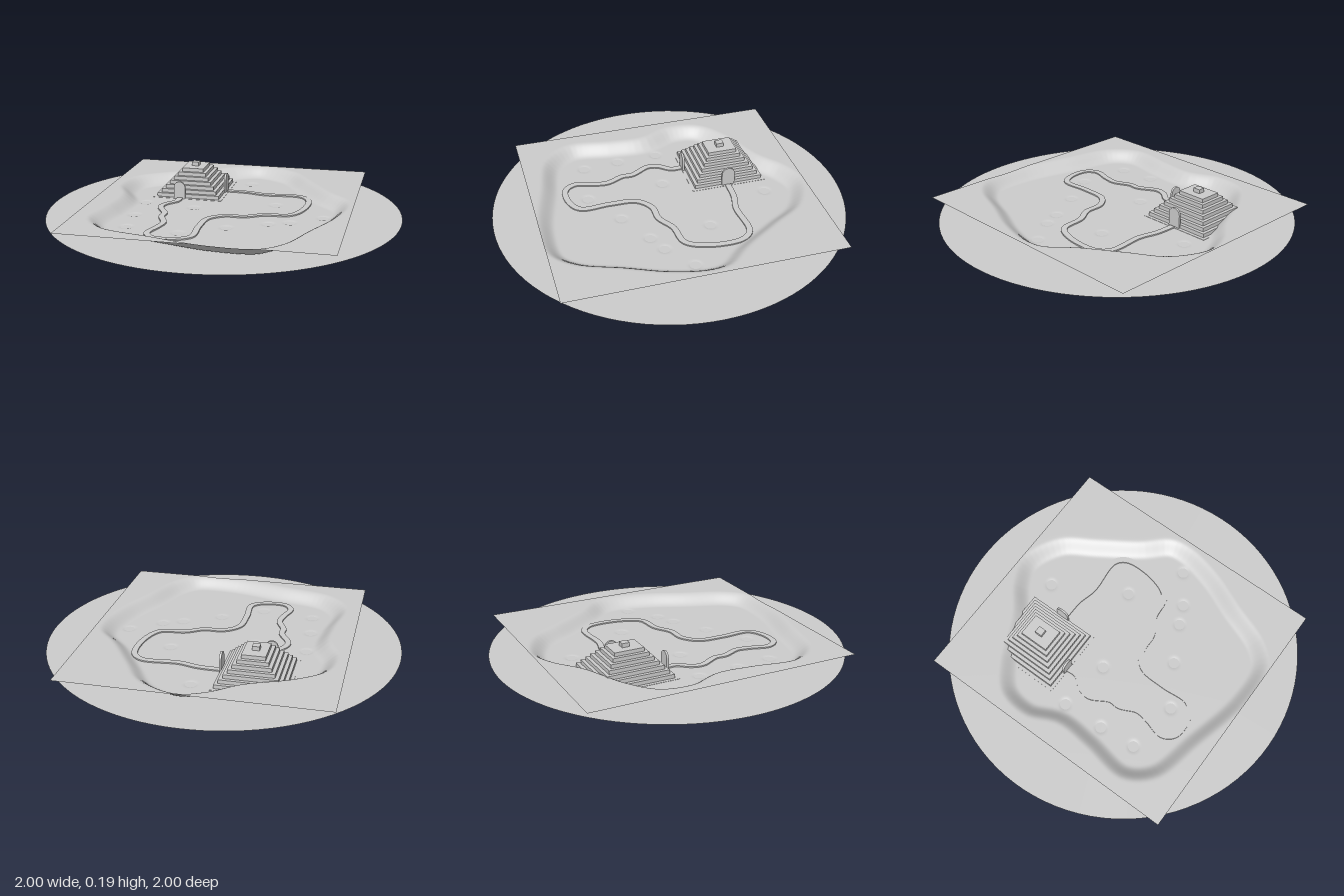
import * as THREE from 'three';

const FLOOR = 0.02, RIM = 0.08;
const grey = new THREE.MeshStandardMaterial({ color: 0xcccccc });
const greyThin = new THREE.MeshStandardMaterial({ color: 0xcccccc, side: THREE.DoubleSide });

const curveOf = (pts, closed) =>
  new THREE.CatmullRomCurve3(pts.map(([x, z]) => new THREE.Vector3(x, 0, z)), closed, 'centripetal');

// Upper rim of the sunken basin, as x, z
const rimCurve = curveOf([
  [0.08, -0.79], [0.3, -0.69], [0.43, -0.5], [0.57, -0.29], [0.69, -0.15], [0.71, -0.02],
  [0.66, 0.2], [0.57, 0.41], [0.47, 0.65], [0.35, 0.76], [0.09, 0.775], [-0.24, 0.7],
  [-0.53, 0.62], [-0.65, 0.46], [-0.62, 0.19], [-0.61, 0], [-0.68, -0.18], [-0.65, -0.37],
  [-0.5, -0.5], [-0.24, -0.62], [-0.08, -0.74],
], true);

// Winding track from the side gate to the front gate, as x, z
const trackCurve = curveOf([
  [-0.06, -0.375], [0.06, -0.37], [0.17, -0.345], [0.38, -0.35], [0.44, -0.29], [0.44, -0.1],
  [0.38, 0.02], [0.24, 0.045], [0.14, 0.1], [0.03, 0.11], [-0.05, 0.18], [-0.065, 0.33],
  [-0.065, 0.5], [-0.14, 0.55], [-0.26, 0.55], [-0.305, 0.49], [-0.28, 0.38], [-0.27, 0.3],
  [-0.31, 0.2], [-0.31, 0.14], [-0.365, 0.03], [-0.355, -0.03], [-0.305, -0.1], [-0.305, -0.17],
], false);

// Small hollows in the basin floor, as x, z
const hollows = [
  [0.05, -0.56], [0.27, -0.16], [0.57, 0.02], [-0.18, -0.01], [-0.48, -0.05], [-0.47, 0.19],
  [0.29, 0.19], [0.4, 0.14], [0.08, 0.3], [-0.45, 0.4], [-0.15, 0.44],
];

// Signed distance from the rim, positive inside
function rimDistance(x, z, loop) {
  let best = Infinity, inside = false;
  for (let i = 0, j = loop.length - 1; i < loop.length; j = i++) {
    const a = loop[j], b = loop[i];
    const dx = b.x - a.x, dz = b.z - a.z;
    const t = THREE.MathUtils.clamp(((x - a.x) * dx + (z - a.z) * dz) / (dx * dx + dz * dz), 0, 1);
    best = Math.min(best, Math.hypot(x - a.x - t * dx, z - a.z - t * dz));
    if ((a.z > z) !== (b.z > z) && x < a.x + (z - a.z) / dz * dx) inside = !inside;
  }
  return inside ? best : -best;
}

// Square sheet with the basin pressed into it
function terrainGeometry() {
  const geo = new THREE.PlaneGeometry(1.46, 1.555, 160, 170);
  geo.rotateX(-Math.PI / 2).translate(0, 0, -0.0125);
  const loop = rimCurve.getSpacedPoints(120).slice(0, -1);
  const pos = geo.attributes.position;
  for (let i = 0; i < pos.count; i++) {
    const x = pos.getX(i), z = pos.getZ(i);
    let y = RIM - (RIM - FLOOR) * THREE.MathUtils.smoothstep(rimDistance(x, z, loop), 0, 0.1);
    for (const [hx, hz] of hollows) {
      const d = Math.hypot(x - hx, z - hz);
      y -= 0.007 * (1 - THREE.MathUtils.smoothstep(d, 0.012, 0.045));
    }
    pos.setY(i, y);
  }
  geo.computeVertexNormals();
  return geo;
}

// Rectangular section swept along the track
function trackGeometry(halfWidth, bottom, top) {
  const n = 200, points = trackCurve.getSpacedPoints(n), verts = [], index = [];
  for (let i = 0; i <= n; i++) {
    const t = trackCurve.getTangentAt(i / n), p = points[i];
    const section = [[-halfWidth, bottom], [-halfWidth, top], [halfWidth, top], [halfWidth, bottom]];
    for (const [s, y] of section) verts.push(p.x - t.z * s, y, p.z + t.x * s);
  }
  for (let i = 0; i < n; i++) {
    for (let k = 0; k < 4; k++) {
      const a = i * 4 + k, b = i * 4 + (k + 1) % 4;
      index.push(a, a + 4, b, b, a + 4, b + 4);
    }
  }
  const geo = new THREE.BufferGeometry();
  geo.setAttribute('position', new THREE.Float32BufferAttribute(verts, 3));
  geo.setIndex(index);
  const flat = geo.toNonIndexed();
  flat.computeVertexNormals();
  return flat;
}

// Round-topped gate slab standing on y = 0
function gateGeometry(halfWidth, height, depth) {
  const shape = new THREE.Shape();
  shape.moveTo(-halfWidth, 0);
  shape.lineTo(halfWidth, 0);
  shape.lineTo(halfWidth, height - halfWidth);
  shape.absarc(0, height - halfWidth, halfWidth, 0, Math.PI, false);
  shape.closePath();
  const geo = new THREE.ExtrudeGeometry(shape, { depth, bevelEnabled: false, curveSegments: 12 });
  return geo.translate(0, 0, -depth / 2);
}

export function createModel() {
  const model = new THREE.Group();
  const add = (name, geo, material, x = 0, y = 0, z = 0, parent = model) => {
    const mesh = new THREE.Mesh(geo, material);
    mesh.name = name;
    mesh.position.set(x, y, z);
    parent.add(mesh);
    return mesh;
  };

  // Round ground under the basin
  add('groundDisc', new THREE.CircleGeometry(1, 96).rotateX(-Math.PI / 2), greyThin, 0, 0.017, 0);
  add('basinTerrain', terrainGeometry(), greyThin);
  add('track', trackGeometry(0.017, 0.018, 0.027), greyThin);

  // Stepped pyramid
  const pyramid = new THREE.Group();
  pyramid.name = 'pyramid';
  pyramid.position.set(-0.261, 0, -0.382);
  model.add(pyramid);
  const levels = 8, rise = 0.0215;
  for (let i = 0; i < levels; i++) {
    const k = 1 - i / (levels - 1);
    const w = 2 * THREE.MathUtils.lerp(0.065, 0.206, k);
    const d = 2 * THREE.MathUtils.lerp(0.085, 0.222, k);
    add('pyramidStep', new THREE.BoxGeometry(w, rise, d), grey, 0, (i + 0.5) * rise, 0, pyramid);
  }
  add('pyramidCap', new THREE.BoxGeometry(0.04, 0.023, 0.043), grey, 0, levels * rise + 0.0115, 0, pyramid);

  // Gates where the track meets the pyramid
  add('frontGate', gateGeometry(0.034, 0.107, 0.012), grey, -0.307, 0.015, -0.168);
  add('sideGate', gateGeometry(0.038, 0.117, 0.012), grey, -0.073, 0.015, -0.378).rotation.y = Math.PI / 2;

  return model;
}
